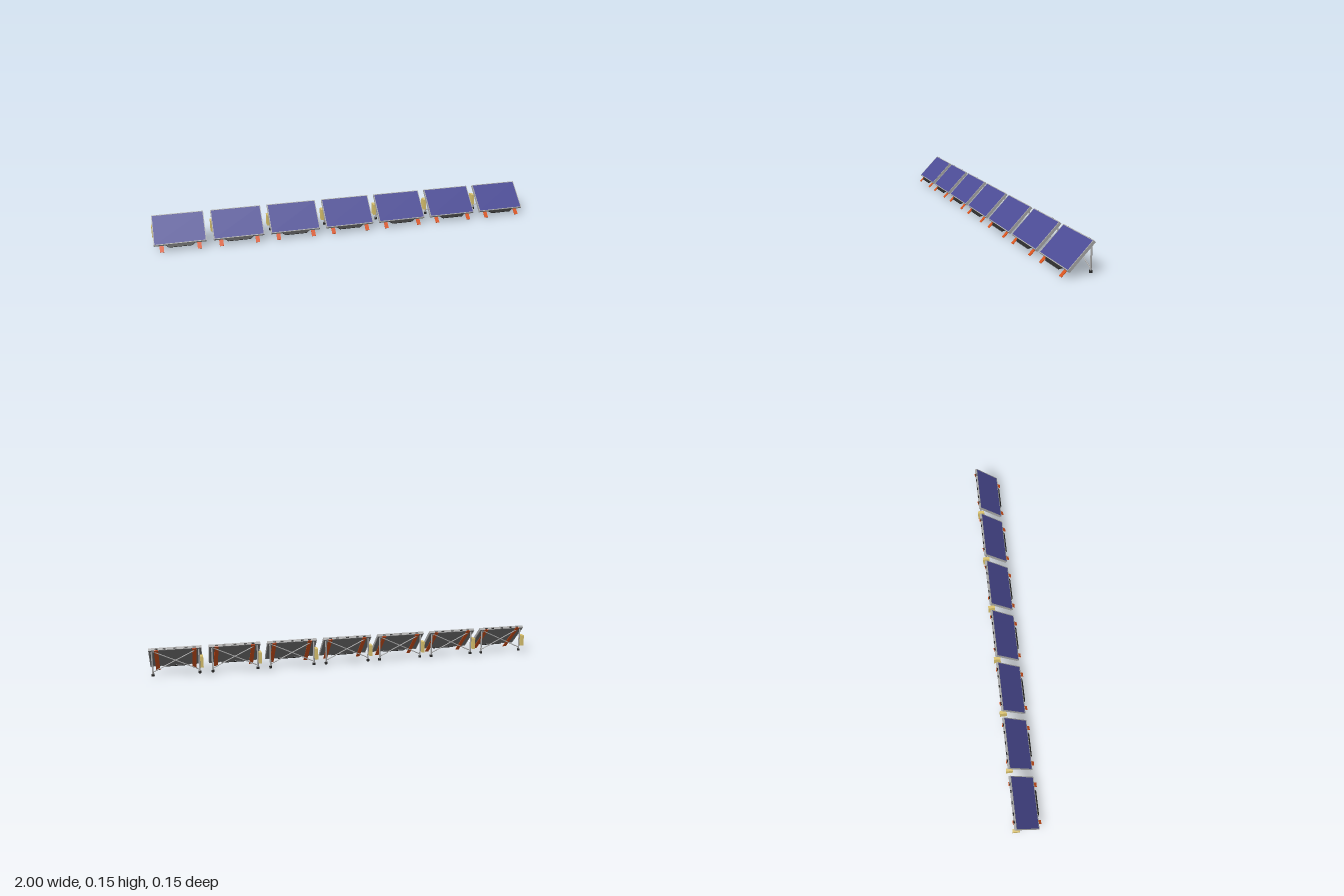
import * as THREE from 'three';

const mat = (color) => new THREE.MeshStandardMaterial({ color });
const grey = mat(0xaaaaaa), backGrey = mat(0x777777), blue = mat(0x4c4c96);
const orange = mat(0xd9541e), black = mat(0x2a2a2a), yellow = mat(0xdcc470);

function add(parent, name, geometry, material, x = 0, y = 0, z = 0) {
  const mesh = new THREE.Mesh(geometry, material);
  mesh.name = name;
  mesh.position.set(x, y, z);
  parent.add(mesh);
  return mesh;
}
const box = (w, h, d) => new THREE.BoxGeometry(w, h, d);

// round bar between two points
function bar(parent, name, a, b, radius) {
  const dir = b.clone().sub(a);
  const mesh = add(parent, name, new THREE.CylinderGeometry(radius, radius, dir.length(), 12), grey);
  mesh.position.copy(a).add(b).multiplyScalar(0.5);
  mesh.quaternion.setFromUnitVectors(new THREE.Vector3(0, 1, 0), dir.normalize());
}

function createPanel() {
  const W = 0.255, L = 0.163, T = 0.014, rim = 0.004;
  const panel = new THREE.Group();
  panel.name = 'tiltedPanel';
  panel.position.set(0, 0.0905, -0.003);
  panel.rotation.x = -Math.PI / 4;

  // frame rails around the glass
  for (const s of [-1, 1]) {
    add(panel, 'frameSide', box(rim, L, T), grey, s * (W - rim) / 2, 0, 0);
    add(panel, 'frameEnd', box(W - 2 * rim, rim, T), grey, 0, s * (L - rim) / 2, 0);
    // orange support strip under the panel
    add(panel, 'supportStrip', box(0.02, 0.199, 0.003), orange, s * 0.091, -0.0156, -0.0085);
  }
  add(panel, 'solarGlass', box(W - 2 * rim, L - 2 * rim, 0.004), blue, 0, 0, T / 2 - 0.0025);
  add(panel, 'backSheet', box(W - 2 * rim, L - 2 * rim, 0.009), backGrey, 0, 0, -0.0022);

  // dark lip with slanted corners on the lower edge
  const lip = new THREE.Shape([
    new THREE.Vector2(-0.075, -0.08), new THREE.Vector2(-0.056, -0.096),
    new THREE.Vector2(0.056, -0.096), new THREE.Vector2(0.075, -0.08),
  ]);
  add(panel, 'lowerLip', new THREE.ExtrudeGeometry(lip, { depth: 0.005, bevelEnabled: false }), black, 0, 0, -0.003);

  // small clips on the upper edge
  for (const x of [-0.09, -0.053, 0, 0.053, 0.09])
    add(panel, 'upperClip', box(0.014, 0.002, 0.006), black, x, L / 2 + 0.0005, -0.001);
  return panel;
}

function createUnit() {
  const unit = new THREE.Group();
  unit.name = 'panelUnit';
  unit.add(createPanel());
  const px = 0.113, pz = -0.055;
  const at = (x, y, z = pz) => new THREE.Vector3(x, y, z);

  // rear posts with feet, joined by crossed braces
  for (const s of [-1, 1]) {
    bar(unit, 'post', at(s * px, 0.018), at(s * px, 0.148), 0.004);
    add(unit, 'foot', new THREE.CylinderGeometry(0.0073, 0.0073, 0.011, 16), black, s * px, 0.0155, pz);
    bar(unit, 'crossBrace', at(-s * px, 0.03, pz - s * 0.002), at(s * px, 0.138, pz - s * 0.002), 0.0025);
  }
  // control cabinet on the right post
  add(unit, 'cabinet', box(0.015, 0.058, 0.035), yellow, -0.1245, 0.071, -0.0555);
  return unit;
}

export function createModel() {
  const model = new THREE.Group();
  model.name = 'solarPanelRow';
  const unit = createUnit();
  for (let i = 0; i < 7; i++) {
    const copy = unit.clone();
    copy.position.x = 0.002 + (i - 3) * 0.29;
    model.add(copy);
  }
  return model;
}
